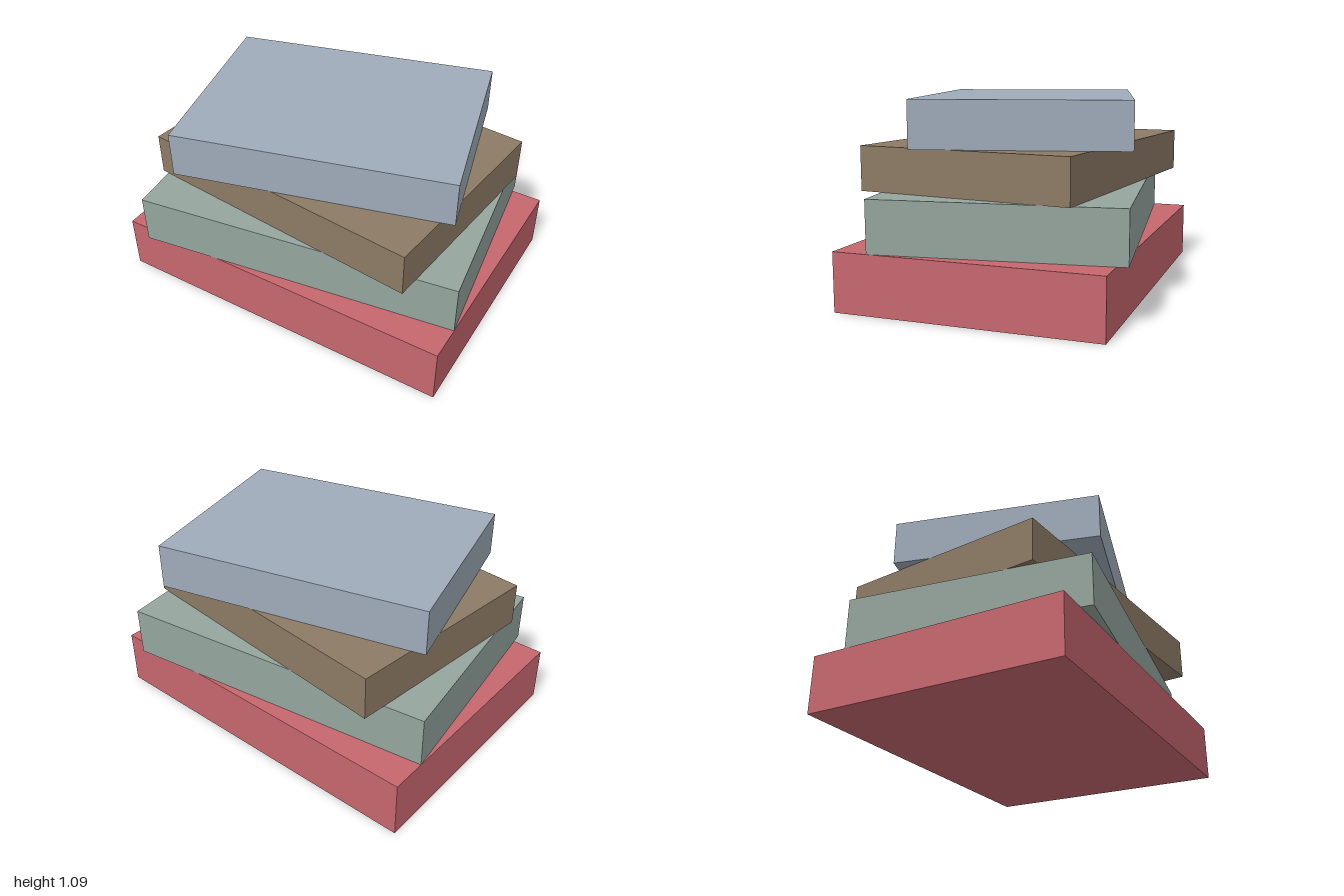
import * as THREE from 'three';

// One turned block of the stack
function slab(name, color, colorName, w, d, y0, y1, z, turn) {
  const material = new THREE.MeshStandardMaterial({ color });
  material.name = colorName;
  const mesh = new THREE.Mesh(new THREE.BoxGeometry(w, y1 - y0, d), material);
  mesh.name = name;
  mesh.position.set(0, (y0 + y1) / 2, z);
  mesh.rotation.y = turn;
  return mesh;
}

export function createModel() {
  const group = new THREE.Group();
  group.name = 'stackedBlocks';
  group.add(
    // Stack from the ground up
    slab('bottomBlock', 0xc6676e, 'red', 2, 1.435, 0, 0.32, -0.003, 0),
    slab('lowerMiddleBlock', 0x95a59e, 'sage green', 1.833, 1.311, 0.32, 0.6, -0.001, 0.141),
    slab('upperMiddleBlock', 0x8d7a65, 'brown', 1.67, 1.195, 0.6, 0.84, -0.006, -0.1045),
    slab('topBlock', 0x9fabb9, 'blue grey', 1.516, 1.118, 0.84, 1.09, -0.006, 0.2595),
  );
  return group;
}
